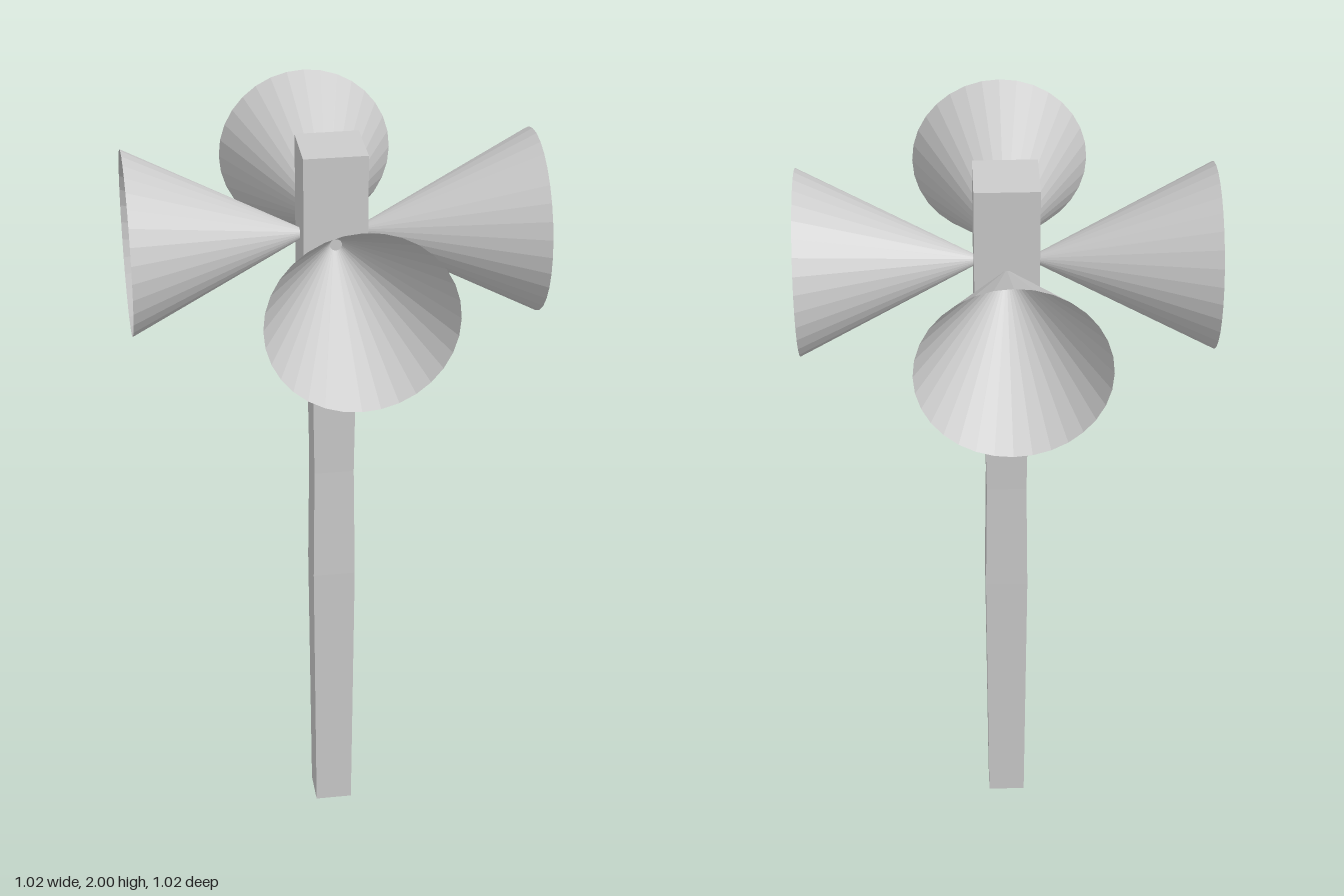
import * as THREE from 'three';

export function createModel() {
  const model = new THREE.Group();
  const mat = new THREE.MeshStandardMaterial({ color: 0xcccccc, flatShading: true });
  const hornMat = new THREE.MeshStandardMaterial({ color: 0xcccccc, flatShading: true, side: THREE.DoubleSide });

  // Square post: [half width, height] from the foot to the top, closed at both ends
  const profile = [
    [0, 0], [0.05, 0], [0.056, 0.78], [0.052, 1.1], [0.056, 1.41],
    [0.08, 1.55], [0.08, 2], [0, 2],
  ].map(([w, y]) => new THREE.Vector2(w * Math.SQRT2, y));
  const post = new THREE.Mesh(new THREE.LatheGeometry(profile, 4, Math.PI / 4), mat);
  post.name = 'post';
  model.add(post);

  // Four open horns, one on each face of the post head
  const inner = 0.08, outer = 0.51;
  const hornGeo = new THREE.CylinderGeometry(0.23, 0.015, outer - inner, 32, 1, true);
  hornGeo.rotateX(Math.PI / 2);
  hornGeo.translate(0, 1.77, (inner + outer) / 2);
  ['frontHorn', 'leftHorn', 'backHorn', 'rightHorn'].forEach((name, i) => {
    const horn = new THREE.Mesh(hornGeo, hornMat);
    horn.name = name;
    horn.rotation.y = i * Math.PI / 2;
    model.add(horn);
  });

  return model;
}
